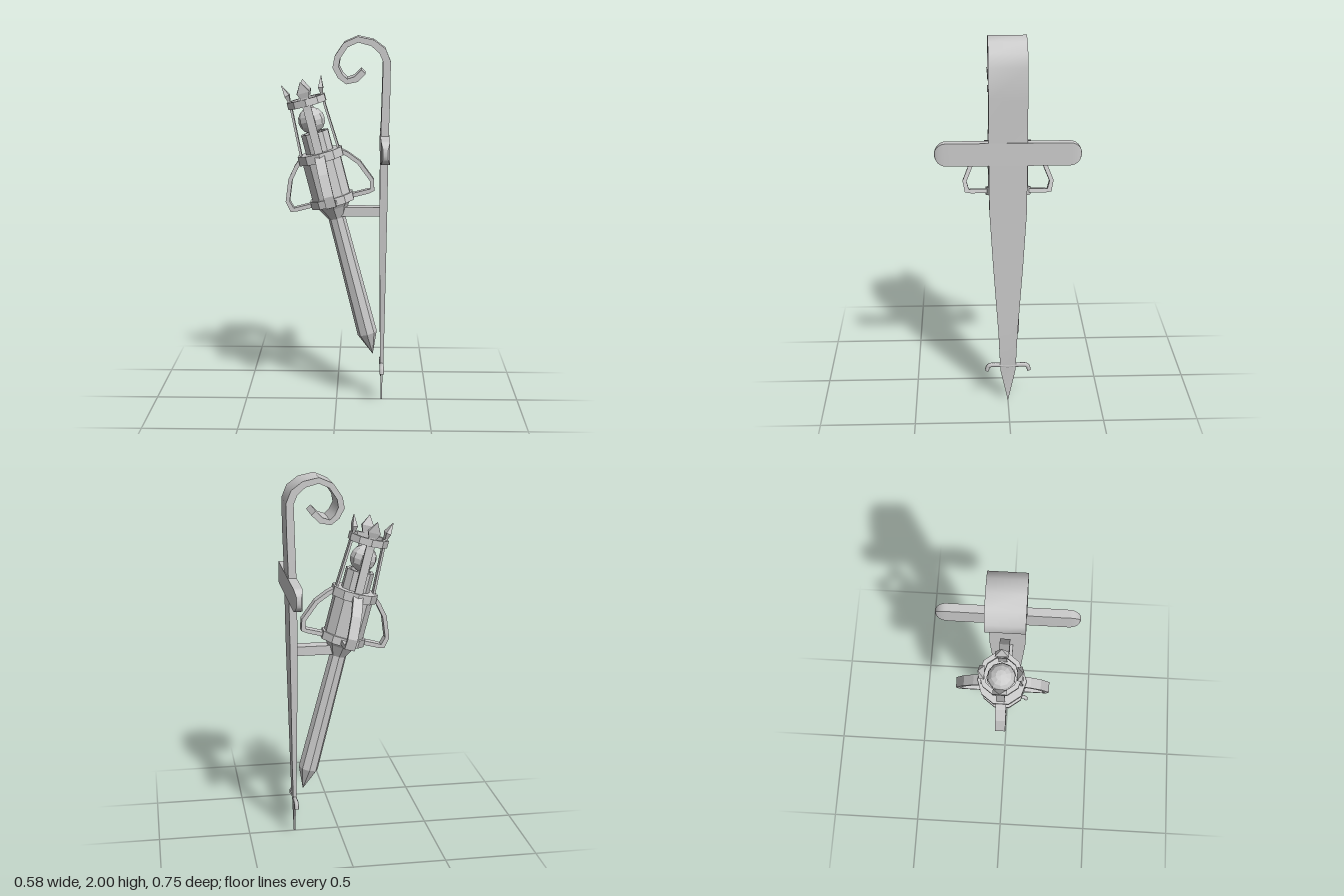
import * as THREE from 'three';
import { toCreasedNormals } from 'three/addons/utils/BufferGeometryUtils.js';

const smooth = new THREE.MeshStandardMaterial({ color: 0xcccccc });
const flat = new THREE.MeshStandardMaterial({ color: 0xcccccc, flatShading: true });

function add(parent, name, geometry, material) {
  const mesh = new THREE.Mesh(geometry, material);
  mesh.name = name;
  parent.add(mesh);
  return mesh;
}

// Flat bar following an xy path; each point is [x, y, thickness, half width in z]
function strip(path) {
  const pos = [], idx = [], last = path.length - 1;
  path.forEach(([x, y, t, w], i) => {
    const a = path[Math.max(i - 1, 0)], b = path[Math.min(i + 1, last)];
    const n = new THREE.Vector2(a[1] - b[1], b[0] - a[0]).normalize().multiplyScalar(t / 2);
    for (const [s, q] of [[1, 1], [-1, 1], [-1, -1], [1, -1]]) pos.push(x + n.x * s, y + n.y * s, q * w);
    if (i === last) return;
    for (let k = 0; k < 4; k++) {
      const p = i * 4 + k, r = i * 4 + (k + 1) % 4;
      idx.push(p, r, r + 4, p, r + 4, p + 4);
    }
  });
  const e = last * 4;
  idx.push(0, 3, 2, 0, 2, 1, e, e + 1, e + 2, e, e + 2, e + 3);
  const geo = new THREE.BufferGeometry();
  geo.setAttribute('position', new THREE.Float32BufferAttribute(pos, 3));
  geo.setIndex(idx);
  return toCreasedNormals(geo, 1);
}

// Faceted turned part from [radius, height] points, bottom to top
function turned(points, sides = 10) {
  return new THREE.LatheGeometry(points.map(([r, y]) => new THREE.Vector2(r, y)), sides);
}
const ring = (inner, outer, y0, y1) =>
  turned([[inner, y0], [outer, y0], [outer, y1], [inner, y1], [inner, y0]]);

export function createModel() {
  const model = new THREE.Group();
  model.name = 'wallTorch';

  // Tapering back plate with a scrolled top
  add(model, 'backPlate', strip([
    [0.248, 0, 0.008, 0.001], [0.248, 0.17, 0.012, 0.039], [0.249, 0.22, 0.018, 0.043],
    [0.25, 0.4, 0.024, 0.051], [0.251, 0.8, 0.034, 0.079], [0.252, 1.1, 0.041, 0.097],
    [0.255, 1.45, 0.042, 0.1], [0.262, 1.7, 0.042, 0.1], [0.265, 1.865, 0.04, 0.1],
    [0.242, 1.921, 0.04, 0.1], [0.19, 1.963, 0.034, 0.1], [0.114, 1.981, 0.031, 0.1],
    [0.05, 1.953, 0.031, 0.1], [0.006, 1.888, 0.031, 0.1], [-0.003, 1.837, 0.033, 0.1],
    [0.021, 1.791, 0.03, 0.1], [0.055, 1.763, 0.028, 0.1], [0.103, 1.775, 0.032, 0.1],
    [0.143, 1.814, 0.032, 0.1],
  ]), smooth);

  // Cross bar with rounded, thinning ends
  const bar = [];
  for (let i = 0; i <= 8; i++) {
    const a = (i / 8) * Math.PI / 2;
    const c = Math.max(Math.cos(a), 0.04);
    bar.push([0, 0.317 + 0.06 * Math.sin(a), 0.012 + 0.034 * c, 0.06 * c]);
  }
  bar.unshift([0, 0.29, 0.047, 0.06]);
  const half = bar.map(([x, y, t, w]) => [x, -y, t, w]).reverse();
  const cross = add(model, 'crossBar', strip([...half, ...bar]), smooth);
  cross.rotation.x = Math.PI / 2;
  cross.position.set(0.257, 1.416, 0);

  // Small curved barbs near the point
  const barb = new THREE.CatmullRomCurve3([
    [-0.115, 0.178], [-0.104, 0.206], [-0.055, 0.21], [0, 0.205], [0.055, 0.21], [0.104, 0.206], [0.115, 0.178],
  ].map(([z, y]) => new THREE.Vector3(0.248, y, z)));
  add(model, 'barbs', new THREE.TubeGeometry(barb, 28, 0.012, 6), smooth);

  // Arm joining plate and torch
  add(model, 'bracketArm', new THREE.BoxGeometry(0.25, 0.05, 0.07), flat).position.set(0.12, 1.06, -0.005);

  // Leaning torch, built upright from its lower tip
  const torch = new THREE.Group();
  torch.name = 'torch';
  torch.position.set(0.2, 0.257, -0.01);
  torch.rotation.z = 0.253;
  model.add(torch);

  add(torch, 'shaft', turned([[0, 0], [0.054, 0.125], [0.046, 0.79], [0.08, 0.85], [0.1, 0.875]], 8), flat);
  add(torch, 'cup', turned([[0, 0.88], [0.108, 0.88], [0.108, 1.14], [0, 1.14]]), flat);
  add(torch, 'innerCup', turned([[0.077, 1.13], [0.077, 1.27], [0.06, 1.27], [0.06, 1.14]]), flat);
  add(torch, 'lowerCollar', ring(0.07, 0.122, 0.87, 0.913), flat);
  add(torch, 'middleCollar', ring(0.07, 0.126, 1.115, 1.163), flat);
  add(torch, 'topRing', ring(0.084, 0.108, 1.42, 1.458), flat);
  add(torch, 'fireball', new THREE.SphereGeometry(0.072, 10, 8), flat).position.y = 1.335;

  // Four cage posts with arrow tips, and four handle loops
  const post = strip([
    [0.104, 1.13, 0.012, 0.022], [0.09, 1.4, 0.012, 0.022], [0.09, 1.465, 0.014, 0.022],
    [0.092, 1.495, 0.026, 0.034], [0.109, 1.553, 0.003, 0.001],
  ]);
  const loop = strip([
    [0.105, 1.145, 0.022, 0.027], [0.14, 1.115, 0.022, 0.027], [0.19, 1.055, 0.022, 0.027],
    [0.234, 0.945, 0.022, 0.027], [0.222, 0.893, 0.026, 0.027], [0.2, 0.891, 0.022, 0.027],
    [0.1, 0.891, 0.022, 0.027],
  ]);
  for (let i = 0; i < 4; i++) {
    add(torch, 'cagePost', post, flat).rotation.y = i * Math.PI / 2;
    add(torch, 'handleLoop', loop, flat).rotation.y = i * Math.PI / 2;
  }
  return model;
}
